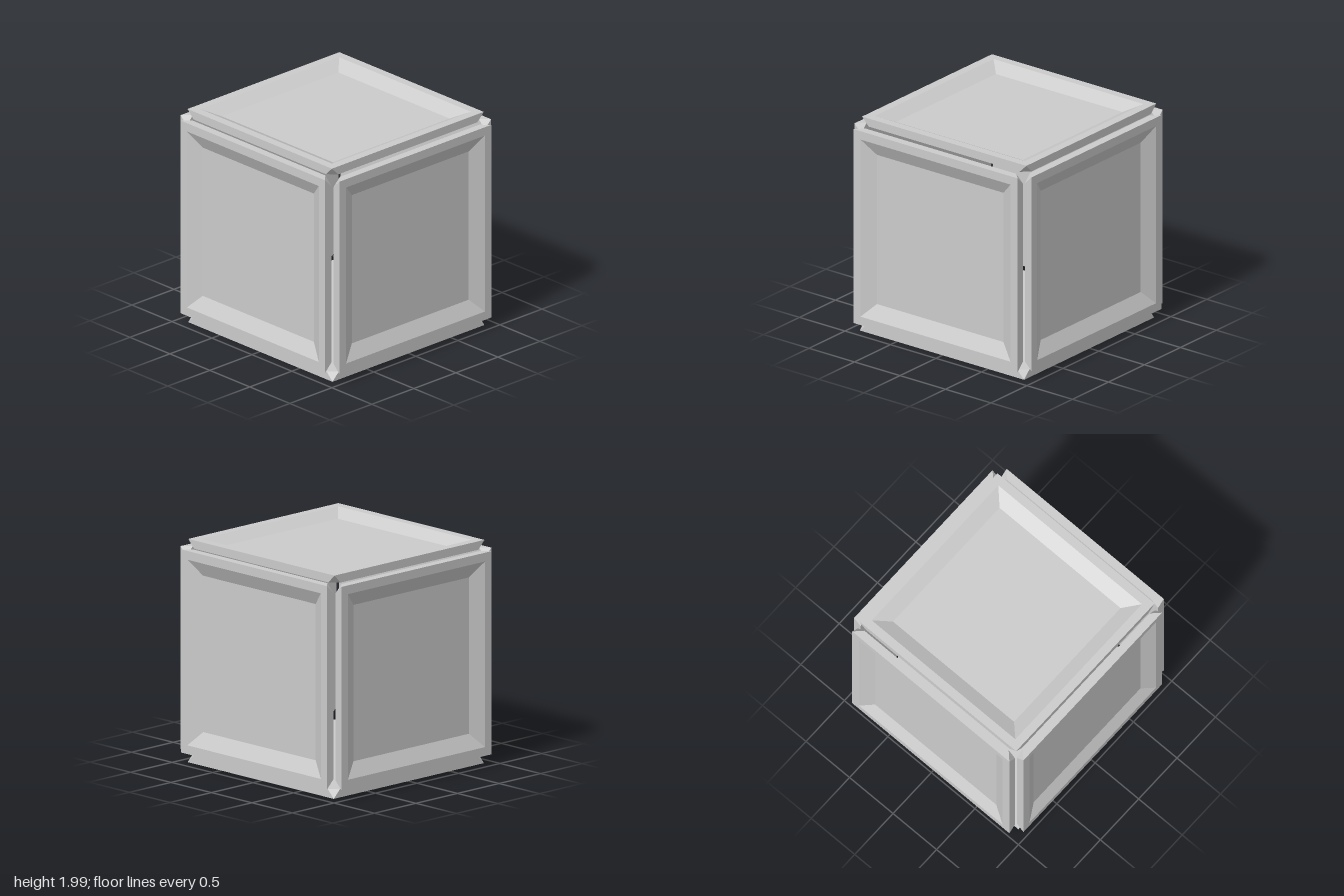
import * as THREE from 'three';

const HALF = 0.903;   // half width of a panel
const THICK = 0.075;  // panel thickness
const RECESS = 0.065; // depth of the sunken floor

// Square ring with optional cut corners, counter-clockwise seen from +z
function ring(half, z, cut = 0) {
  const k = half - cut;
  return [[half, -k], [half, k], [k, half], [-k, half], [-half, k], [-half, -k], [-k, -half], [k, -half]]
    .map(([x, y]) => new THREE.Vector3(x, y, z));
}

// Square tray: outer face at z = 0, sloped recess, corners cut towards the back
function panelGeometry() {
  const rings = [
    ring(0, -RECESS),           // floor centre
    ring(0.695, -RECESS),       // floor edge
    ring(0.825, 0),             // opening
    ring(HALF, 0),              // outer rim
    ring(HALF, -THICK, THICK),  // back outline with cut corners
    ring(0, -THICK),            // back centre
  ];
  const points = [];
  const addTriangle = (a, b, c) => {
    if (new THREE.Triangle(a, b, c).getArea() > 1e-7) points.push(a, b, c);
  };
  for (let r = 0; r < rings.length - 1; r++) {
    const a = rings[r], b = rings[r + 1];
    for (let i = 0; i < 8; i++) {
      const j = (i + 1) % 8;
      addTriangle(a[i], b[i], b[j]);
      addTriangle(a[i], b[j], a[j]);
    }
  }
  const geometry = new THREE.BufferGeometry().setFromPoints(points);
  geometry.computeVertexNormals();
  return geometry;
}

export function createModel() {
  const group = new THREE.Group();
  group.name = 'panelledCube';
  const geometry = panelGeometry();
  const material = new THREE.MeshStandardMaterial({ color: 0xcccccc, flatShading: true });
  const q = Math.PI / 2;

  // Six loose panels, each slightly off centre: name, position, x and y rotation
  const panels = [
    ['frontPanel', [-0.009, 1.003, 0.98], 0, 0],
    ['backPanel', [0.007, 1.003, -0.98], 0, 2 * q],
    ['leftPanel', [1, 1.002, 0.005], 0, q],
    ['rightPanel', [-1, 1.002, -0.007], 0, -q],
    ['topPanel', [-0.01, 1.99, -0.006], -q, 0],
    ['bottomPanel', [0.008, 0, 0.004], q, 0],
  ];
  for (const [name, position, rx, ry] of panels) {
    const panel = new THREE.Mesh(geometry, material);
    panel.name = name;
    panel.position.set(...position);
    panel.rotation.set(rx, ry, 0);
    group.add(panel);
  }
  return group;
}
